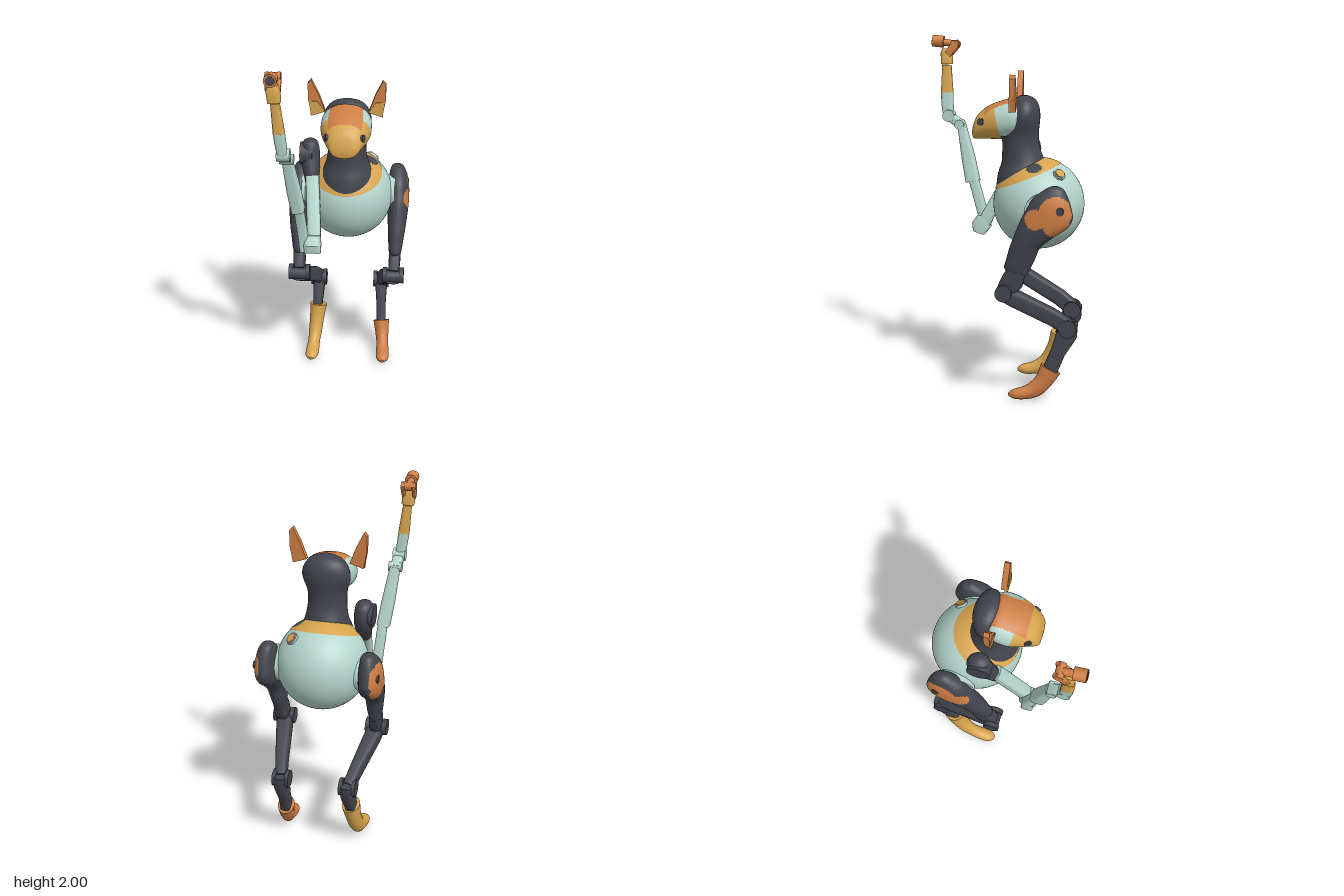
import * as THREE from 'three';
import { toCreasedNormals } from 'three/addons/utils/BufferGeometryUtils.js';

const mat = (name, color) => Object.assign(new THREE.MeshStandardMaterial({ color }), { name });
const teal = mat('pale teal', 0xb4d4cb);
const dark = mat('charcoal', 0x43454e);
const gold = mat('gold', 0xd6a44e);
const orange = mat('burnt orange', 0xce7e45);
const palette = [teal, dark, gold, orange];
const V = (x, y, z) => new THREE.Vector3(x, y, z);
const CX = 0.02; // symmetry axis of the body

// Skin rows of [x, y, z, halfWidth, halfDepth]; steps smooths the rows, p below 1 squares the outline
function loft(rows, { sides = 28, steps = 1, p = 1, normal = null, crease = 0.7 } = {}) {
  const centre = new THREE.CatmullRomCurve3(rows.map(r => V(r[0], r[1], r[2])), false, 'catmullrom');
  const size = new THREE.CatmullRomCurve3(rows.map(r => V(r[3], r[4], 0)), false, 'catmullrom');
  const n = (rows.length - 1) * steps;
  const pos = [], idx = [], pts = [];
  for (let i = 0; i <= n; i++) pts.push(centre.getPoint(i / n));
  const pow = v => Math.sign(v) * Math.pow(Math.abs(v), p);
  pts.forEach((c, i) => {
    const t = normal || pts[Math.min(i + 1, n)].clone().sub(pts[Math.max(i - 1, 0)]).normalize();
    const side = V(1, 0, 0).addScaledVector(t, -t.x).normalize();
    const up = t.clone().cross(side);
    const s = size.getPoint(i / n);
    for (let j = 0; j < sides; j++) {
      const a = (j + 0.5) / sides * Math.PI * 2;
      const q = c.clone().addScaledVector(side, s.x * pow(Math.cos(a))).addScaledVector(up, s.y * pow(Math.sin(a)));
      pos.push(q.x, q.y, q.z);
    }
  });
  const first = pos.length / 3, last = first + 1;
  pos.push(...pts[0].toArray(), ...pts[n].toArray());
  for (let j = 0; j < sides; j++) {
    const k = (j + 1) % sides;
    for (let i = 0; i < n; i++) {
      const a = i * sides + j, b = i * sides + k;
      idx.push(a, b, b + sides, a, b + sides, a + sides);
    }
    idx.push(first, k, j, last, n * sides + j, n * sides + k);
  }
  const g = new THREE.BufferGeometry();
  g.setAttribute('position', new THREE.Float32BufferAttribute(pos, 3));
  g.setIndex(idx);
  return toCreasedNormals(g, crease);
}

// Sort triangles into colour groups by a rule on their centres
function paint(geo, rule) {
  const src = geo.index ? geo.toNonIndexed() : geo;
  const P = src.attributes.position.array, N = src.attributes.normal.array;
  const bins = palette.map(() => [[], []]);
  for (let i = 0; i < P.length; i += 9) {
    const c = [0, 1, 2].map(k => (P[i + k] + P[i + 3 + k] + P[i + 6 + k]) / 3);
    const bin = bins[palette.indexOf(rule(...c))];
    for (let k = 0; k < 9; k++) { bin[0].push(P[i + k]); bin[1].push(N[i + k]); }
  }
  const g = new THREE.BufferGeometry();
  g.setAttribute('position', new THREE.Float32BufferAttribute(bins.flatMap(b => b[0]), 3));
  g.setAttribute('normal', new THREE.Float32BufferAttribute(bins.flatMap(b => b[1]), 3));
  let start = 0;
  bins.forEach((b, m) => { g.addGroup(start, b[0].length / 3, m); start += b[0].length / 3; });
  return g;
}

export function createModel() {
  const model = new THREE.Group();
  const add = (name, geo, m, parent = model) => {
    const mesh = new THREE.Mesh(geo, m);
    mesh.name = name;
    parent.add(mesh);
    return mesh;
  };
  // Cylinder centred at c with its axis along dir
  const disc = (name, c, dir, r, len, m, parent = model, sides = 24) => {
    const mesh = add(name, new THREE.CylinderGeometry(r, r, len, sides), m, parent);
    mesh.position.set(...c);
    mesh.quaternion.setFromUnitVectors(V(0, 1, 0), V(...dir).normalize());
    return mesh;
  };
  const beam = (name, rows, m, parent) => add(name, loft(rows, { p: 0.45 }), m, parent);

  // Round body with a tilted collar cap
  const body = V(CX, 1.085, -0.205);
  add('body', new THREE.SphereGeometry(0.255, 48, 32), teal).position.copy(body);
  const cap = new THREE.SphereGeometry(0.258, 96, 36, 0, Math.PI * 2, 0, 0.86);
  cap.rotateX(0.38).translate(body.x, body.y, body.z);
  add('collar', paint(cap, (x, y, z) => Math.hypot(x - 0.155, (z + 0.19) * 0.8) < 0.034 ? dark : gold), palette);
  disc('portRim', [0.155, 1.269, -0.329], [0.136, 0.185, -0.125], 0.036, 0.012, teal, model, 8);
  disc('port', [0.157, 1.272, -0.331], [0.136, 0.185, -0.125], 0.028, 0.016, gold, model, 8);

  // Neck and hood
  add('neck', loft([
    [CX, 1.17, -0.11, 0.155, 0.145], [CX, 1.25, -0.113, 0.146, 0.138], [CX, 1.32, -0.117, 0.12, 0.121],
    [CX, 1.4, -0.103, 0.107, 0.104], [CX, 1.48, -0.102, 0.11, 0.1], [CX, 1.56, -0.125, 0.132, 0.084],
    [CX, 1.62, -0.13, 0.122, 0.074], [CX, 1.665, -0.125, 0.085, 0.056], [CX, 1.686, -0.12, 0.03, 0.02],
  ], { sides: 40, steps: 3, normal: V(0, 1, 0) }), dark);

  // Head, colour patches chosen by position
  add('head', paint(loft([
    [CX, 1.57, -0.1, 0.12, 0.095], [CX, 1.567, -0.06, 0.137, 0.106], [CX, 1.551, 0, 0.138, 0.106],
    [CX, 1.542, 0.05, 0.126, 0.098], [CX, 1.528, 0.1, 0.106, 0.084], [CX, 1.508, 0.14, 0.086, 0.065],
    [CX, 1.485, 0.16, 0.065, 0.038], [CX, 1.48, 0.166, 0.03, 0.012],
  ], { sides: 80, steps: 8, p: 0.9, normal: V(0, 0, 1), crease: 1.2 }), (x, y, z) => {
    if (y > 1.585 && Math.abs(x - CX) < 0.093 && z < 0.095) return orange;
    if (y < 1.47 && z < 0) return dark;
    return z < (y - 1.47) * 0.22 ? teal : gold;
  }), palette);

  for (const s of [-1, 1]) {
    const X = d => CX + s * d;
    const side = s > 0 ? 'left' : 'right';
    disc(side + 'Eye', [X(0.096), 1.545, 0.106], [s, 0.1, 0.4], 0.02, 0.02, dark);

    // Ear: flat blade with a gold inner base
    const ear = (pts, z, depth) => {
      const shape = new THREE.Shape(pts.map(([x, y]) => new THREE.Vector2(X(x), y)));
      return new THREE.ExtrudeGeometry(shape, { depth, bevelEnabled: false }).translate(0, 0, z);
    };
    add(side + 'Ear', ear([[0.12, 1.635], [0.155, 1.73], [0.195, 1.81], [0.213, 1.79], [0.212, 1.7], [0.195, 1.61]], -0.095, 0.032), orange);
    add(side + 'InnerEar', ear([[0.118, 1.632], [0.162, 1.69], [0.205, 1.69], [0.197, 1.606]], -0.066, 0.008), gold);

    // Leg
    const leg = new THREE.Group();
    leg.name = side + 'Leg';
    model.add(leg);
    disc('hip', [X(0.238), 1.08, -0.25], [1, 0, 0], 0.1, 0.06, teal, leg, 32);
    const thigh = loft([
      [X(0.28), 1.228, -0.317, 0.012, 0.015], [X(0.28), 1.21, -0.315, 0.036, 0.05], [X(0.285), 1.16, -0.296, 0.054, 0.095],
      [X(0.288), 1.105, -0.288, 0.061, 0.12], [X(0.288), 1.05, -0.276, 0.063, 0.138], [X(0.287), 1.0, -0.25, 0.062, 0.133],
      [X(0.286), 0.945, -0.2, 0.057, 0.104], [X(0.285), 0.89, -0.158, 0.05, 0.083], [X(0.282), 0.83, -0.137, 0.044, 0.078],
      [X(0.28), 0.775, -0.118, 0.038, 0.072], [X(0.28), 0.735, -0.125, 0.03, 0.045],
    ], { sides: 72, steps: 6, p: 0.9, normal: V(0, -1, 0), crease: 1 });
    add('thigh', paint(thigh, (x, y, z) => {
      const patch = Math.hypot(z + 0.325, y - 1.09) < 0.088 || Math.hypot(z + 0.33, y - 1.03) < 0.072
        || Math.hypot(z + 0.22, (y - 1.055) * 1.1) < 0.06;
      return patch && (x - CX) * s > 0.305 ? orange : dark;
    }), palette, leg);
    disc('hipBolt', [X(0.334), 1.1, -0.35], [1, 0, 0], 0.022, 0.026, dark, leg);
    beam('kneeCollar', [[X(0.28), 0.76, -0.115, 0.032, 0.05], [X(0.278), 0.7, -0.09, 0.034, 0.062],
      [X(0.276), 0.655, -0.055, 0.03, 0.05]], dark, leg);
    disc('kneePin', [X(0.274), 0.635, -0.04], [1, 0, 0], 0.036, 0.09, dark, leg);
    for (const d of [-0.048, 0.048]) disc('kneePlate', [X(0.274 + d), 0.64, -0.045], [1, 0, 0], 0.046, 0.026, dark, leg);
    beam('shin', [[X(0.274), 0.635, -0.03, 0.045, 0.04], [X(0.262), 0.6, -0.1, 0.045, 0.046],
      [X(0.215), 0.485, -0.31, 0.034, 0.046], [X(0.195), 0.43, -0.385, 0.03, 0.045]], dark, leg);
    for (const d of [-0.036, 0.036]) disc('anklePlate', [X(0.192 + d), 0.425, -0.388], [1, 0, 0], 0.05, 0.022, dark, leg);
    beam('lowerLeg', [[X(0.192), 0.455, -0.4, 0.034, 0.045], [X(0.193), 0.39, -0.385, 0.036, 0.058],
      [X(0.196), 0.28, -0.335, 0.028, 0.042], [X(0.2), 0.17, -0.29, 0.028, 0.042]], dark, leg);

    // Boot, taller on the right leg
    const cuff = s > 0 ? [[X(0.2), 0.185, -0.296, 0.048, 0.06]]
      : [[X(0.193), 0.272, -0.322, 0.052, 0.062], [X(0.2), 0.19, -0.297, 0.044, 0.054]];
    add('boot', loft([...cuff, [X(0.207), 0.115, -0.258, 0.04, 0.05], [X(0.212), 0.066, -0.21, 0.036, 0.046],
      [X(0.215), 0.042, -0.15, 0.039, 0.036], [X(0.217), 0.034, -0.095, 0.036, 0.027], [X(0.217), 0.03, -0.062, 0.012, 0.01],
    ], { steps: 4 }), s > 0 ? orange : gold, leg);
  }

  // Single raised arm on the right side
  const arm = new THREE.Group();
  arm.name = 'arm';
  model.add(arm);
  add('shoulder', loft([[-0.19, 1.445, -0.125, 0.015, 0.02], [-0.19, 1.42, -0.125, 0.045, 0.055], [-0.19, 1.34, -0.125, 0.055, 0.07],
    [-0.18, 1.26, -0.08, 0.045, 0.055], [-0.175, 1.2, -0.045, 0.035, 0.035]], { steps: 3 }), dark, arm);
  disc('shoulderJoint', [-0.21, 1.36, -0.12], [1, 0, 0], 0.065, 0.07, dark, arm);
  beam('upperArm', [[-0.172, 1.25, -0.05, 0.038, 0.038], [-0.15, 0.99, 0.1, 0.038, 0.036], [-0.147, 0.9, 0.145, 0.034, 0.04]], teal, arm);
  beam('elbow', [[-0.155, 0.975, 0.135, 0.04, 0.03], [-0.155, 0.92, 0.145, 0.048, 0.056], [-0.155, 0.875, 0.16, 0.046, 0.036]], teal, arm);
  beam('lowerForearm', [[-0.2, 0.885, 0.145, 0.026, 0.035], [-0.208, 0.97, 0.145, 0.028, 0.03], [-0.224, 1.18, 0.205, 0.026, 0.028]], teal, arm);
  beam('forearm', [[-0.225, 1.16, 0.207, 0.036, 0.042], [-0.245, 1.3, 0.237, 0.036, 0.038], [-0.27, 1.49, 0.28, 0.028, 0.024]], teal, arm);
  disc('wristPivot', [-0.27, 1.49, 0.29], [1, 0, 0], 0.028, 0.075, teal, arm);
  beam('wristLink', [[-0.272, 1.485, 0.28, 0.03, 0.026], [-0.278, 1.54, 0.36, 0.03, 0.026]], teal, arm);
  disc('wrist', [-0.278, 1.54, 0.355], [1, 0, 0], 0.035, 0.07, teal, arm);
  beam('handBase', [[-0.28, 1.53, 0.357, 0.026, 0.03], [-0.289, 1.6, 0.366, 0.028, 0.034], [-0.297, 1.67, 0.369, 0.029, 0.035]], teal, arm);
  beam('hand', [[-0.297, 1.67, 0.369, 0.029, 0.035], [-0.312, 1.83, 0.372, 0.023, 0.026]], gold, arm);
  beam('knuckle', [[-0.315, 1.835, 0.372, 0.034, 0.032], [-0.32, 1.9, 0.374, 0.036, 0.033], [-0.321, 1.925, 0.374, 0.026, 0.024]], gold, arm);

  // Tool head at the tip of the arm
  for (const d of [-0.03, 0.03]) {
    beam('fork', [[-0.322 + d, 1.89, 0.365, 0.01, 0.02], [-0.325 + d, 1.95, 0.32, 0.012, 0.025], [-0.325 + d, 1.965, 0.305, 0.01, 0.015]], orange, arm);
  }
  disc('toolPivot', [-0.325, 1.95, 0.325], [1, 0, 0], 0.024, 0.082, orange, arm);
  disc('toolStem', [-0.324, 1.957, 0.36], [0, 0.15, 1], 0.02, 0.08, orange, arm);
  disc('toolHead', [-0.323, 1.967, 0.423], [0, 0.1, 1], 0.034, 0.066, orange, arm);
  disc('toolFace', [-0.323, 1.9703, 0.4565], [0, 0.1, 1], 0.024, 0.004, dark, arm);
  return model;
}
